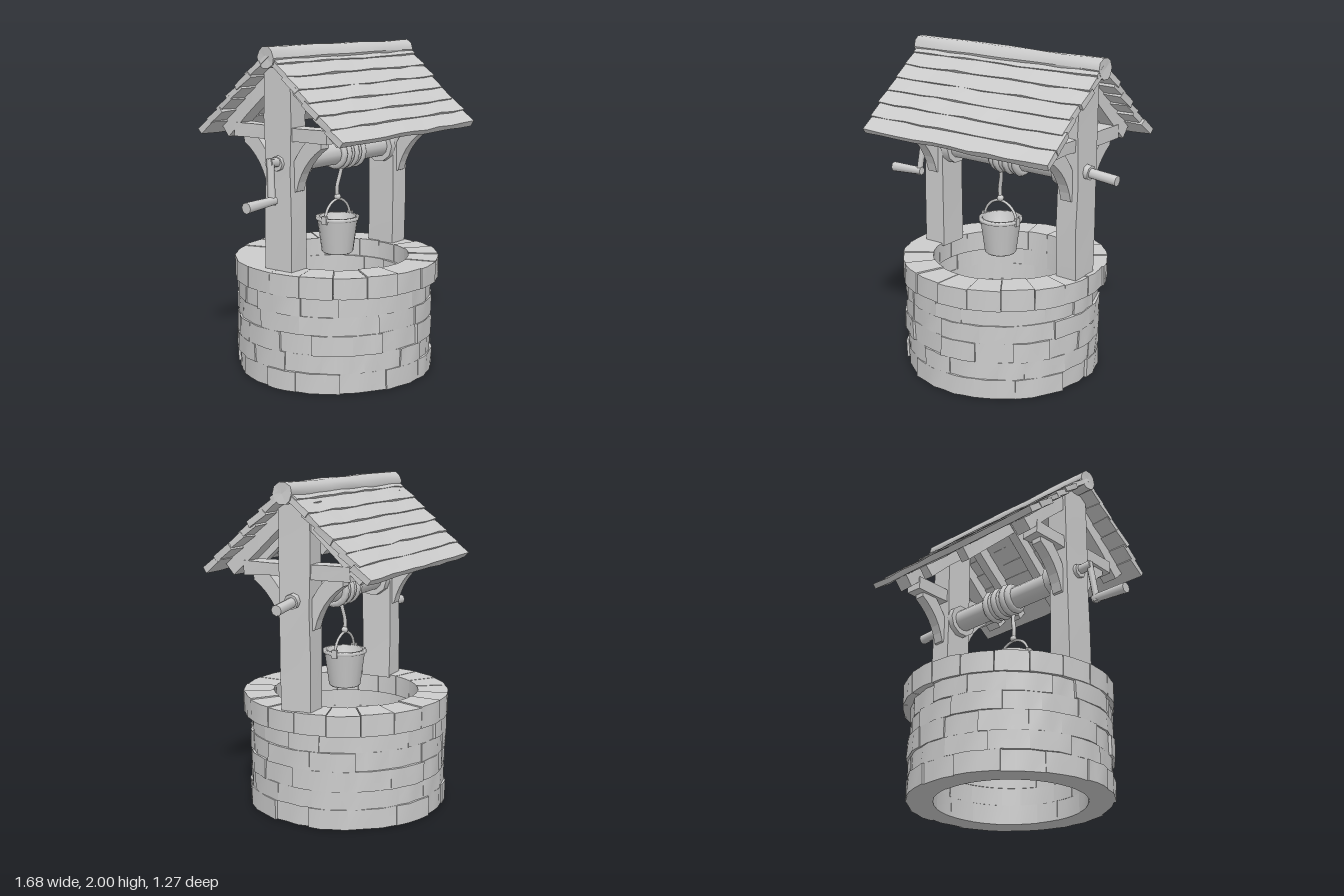
import * as THREE from 'three';

const grey = new THREE.MeshStandardMaterial({ color: 0xcccccc });
grey.name = 'plain grey';

let seed = 7;
function rand() {
  seed = (seed * 16807) % 2147483647;
  return seed / 2147483647;
}

// Shifts vertices by a rule of their position, so shared corners stay joined
function roughen(geo, amount, salt = 0) {
  const p = geo.attributes.position;
  const noise = (a, b, c) => {
    const s = Math.sin(a * 127.1 + b * 311.7 + c * 74.7 + salt) * 43758.5453;
    return (s - Math.floor(s) - 0.5) * 2 * amount;
  };
  for (let i = 0; i < p.count; i++) {
    const x = Math.round(p.getX(i) * 1e4) / 1e4;
    const y = Math.round(p.getY(i) * 1e4) / 1e4;
    const z = Math.round(p.getZ(i) * 1e4) / 1e4;
    p.setXYZ(i, x + noise(x, y, z), y + noise(y, z, x), z + noise(z, x, y));
  }
  geo.computeVertexNormals();
  return geo;
}

function add(parent, name, geo, x = 0, y = 0, z = 0) {
  const mesh = new THREE.Mesh(geo, grey);
  mesh.name = name;
  mesh.position.set(x, y, z);
  parent.add(mesh);
  return mesh;
}

function group(parent, name) {
  const g = new THREE.Group();
  g.name = name;
  parent.add(g);
  return g;
}

// Curved block of a ring: a box bent round the y axis
function ringBlock(a0, a1, y0, y1, rIn, rOut, rough) {
  const geo = new THREE.BoxGeometry(1, 1, 1, 3, 1, 1);
  const p = geo.attributes.position;
  for (let i = 0; i < p.count; i++) {
    const a = a0 + (p.getX(i) + 0.5) * (a1 - a0);
    const outer = p.getZ(i) > 0;
    const wave = outer ? Math.sin(a * 23 + p.getY(i) * 5 + y0 * 40) * rough : 0;
    const r = (outer ? rOut : rIn) + wave;
    p.setXYZ(i, r * Math.sin(a), y0 + (p.getY(i) + 0.5) * (y1 - y0), r * Math.cos(a));
  }
  geo.computeVertexNormals();
  return geo;
}

// Rod between two points
function rod(parent, name, a, b, r0, r1, sides = 8) {
  const d = new THREE.Vector3().subVectors(b, a);
  const mesh = add(parent, name, new THREE.CylinderGeometry(r1, r0, d.length(), sides));
  mesh.position.copy(a).addScaledVector(d, 0.5);
  mesh.quaternion.setFromUnitVectors(new THREE.Vector3(0, 1, 0), d.normalize());
  return mesh;
}

const V = (x, y, z) => new THREE.Vector3(x, y, z);

function buildWall(model) {
  const wall = group(model, 'stoneWall');
  wall.position.x = 0.02;
  const courses = [0, 0.12, 0.23, 0.35, 0.46, 0.58];
  for (let c = 0; c < 5; c++) {
    const n = 15 + (c % 3);
    const offset = rand();
    const cuts = Array.from({ length: n }, (_, i) => ((i + offset + (rand() - 0.5) * 0.4) / n) * Math.PI * 2);
    cuts.push(cuts[0] + Math.PI * 2);
    for (let i = 0; i < n; i++) {
      const out = 0.592 + rand() * 0.022;
      add(wall, 'wallStone', ringBlock(cuts[i], cuts[i + 1], courses[c], courses[c + 1], 0.445 + rand() * 0.01, out, 0.005));
    }
  }
  // Rim slabs
  const rim = group(model, 'stoneRim');
  rim.position.x = 0.04;
  const n = 20;
  for (let i = 0; i < n; i++) {
    const a = (i / n) * Math.PI * 2;
    add(rim, 'rimSlab', ringBlock(a, a + (Math.PI * 2) / n - 0.006, 0.57, 0.69 + rand() * 0.012, 0.445, 0.625 + rand() * 0.012, 0.003));
  }
}

function buildFrame(model) {
  // Curved bracket outline in (z, y), extruded along x
  const outline = new THREE.Shape();
  outline.moveTo(0.08, 1.16);
  outline.lineTo(0.11, 1.17);
  outline.quadraticCurveTo(0.15, 1.34, 0.29, 1.43);
  outline.lineTo(0.29, 1.48);
  outline.lineTo(0.2, 1.48);
  outline.quadraticCurveTo(0.13, 1.42, 0.08, 1.32);
  for (const x of [-0.45, 0.57]) {
    const frame = group(model, x < 0 ? 'rightFrame' : 'leftFrame');
    add(frame, 'post', roughen(new THREE.BoxGeometry(0.14, 1.2, 0.195, 1, 4, 1), 0.005, x), x, 1.28, 0.005);
    add(frame, 'crossBeam', roughen(new THREE.BoxGeometry(0.11, 0.08, 0.69, 1, 1, 4), 0.005, x), x, 1.5, 0.005);
    for (const s of [1, -1]) {
      const geo = new THREE.ExtrudeGeometry(outline, { depth: 0.07, bevelEnabled: false, curveSegments: 6 });
      geo.translate(0, 0, -0.035);
      add(frame, 'brace', geo, x, 0, 0.005).rotation.y = (-s * Math.PI) / 2;
    }
  }
}

function buildRoof(model) {
  const roof = group(model, 'roof');
  const slope = 42 * Math.PI / 180;
  for (const s of [1, -1]) {
    const turn = group(roof, s > 0 ? 'frontSlope' : 'backSlope');
    turn.position.set(0, 1.985, 0.01);
    turn.rotation.y = s > 0 ? 0 : Math.PI;
    const side = group(turn, 'slopeParts');
    side.rotation.x = slope;
    // Seven overlapping rows of boards
    for (let i = 0; i < 7; i++) {
      const w = 1.34 + rand() * 0.03;
      const geo = roughen(new THREE.BoxGeometry(w, 0.035, 0.13, 10, 1, 1), 0.005, i + s * 9);
      const board = add(side, 'roofBoard', geo, s * (0.05 + rand() * 0.02), -0.026, 0.05 + i * 0.102);
      board.rotation.x = -0.09;
    }
    for (const x of [-0.45, 0.03, 0.36, 0.57]) {
      const w = x === 0.03 || x === 0.36 ? 0.06 : 0.1;
      add(side, 'rafter', roughen(new THREE.BoxGeometry(w, 0.09, 0.62, 1, 1, 3), 0.004, x), s * x, -0.08, 0.35);
    }
  }
  // Rounded ridge board
  const ridge = new THREE.CylinderGeometry(0.062, 0.062, 1.37, 10, 6);
  ridge.rotateZ(Math.PI / 2);
  add(roof, 'ridgeCap', roughen(ridge, 0.004), 0.063, 1.936, 0.01);
}

function buildWinch(model) {
  const winch = group(model, 'winch');
  const y = 1.33, z = 0.01;
  const along = (name, x0, x1, r, sides = 12) => rod(winch, name, V(x0, y, z), V(x1, y, z), r, r, sides);
  along('axle', -0.5, 0.62, 0.07);
  for (const [a, b] of [[-0.38, -0.325], [0.46, 0.505]]) along('axleCollar', a, b, 0.105, 10);
  // Wound rope
  for (let i = 0; i < 6; i++) {
    const coil = add(winch, 'ropeCoil', new THREE.TorusGeometry(0.074 + (i % 2) * 0.008, 0.024, 6, 16), 0.0 + i * 0.036, y, z);
    coil.rotation.y = Math.PI / 2 + 0.08;
  }
  // Plain peg on one end, crank on the other
  rod(winch, 'axlePeg', V(0.6, 1.335, z), V(0.84, 1.31, 0), 0.03, 0.032);
  rod(winch, 'pegCollar', V(0.63, 1.335, z), V(0.67, 1.33, z), 0.045, 0.045);
  rod(winch, 'crankShaft', V(-0.5, 1.335, z), V(-0.615, 1.345, 0.02), 0.028, 0.028);
  rod(winch, 'crankCollar', V(-0.5, y, z), V(-0.54, y, z), 0.045, 0.045);
  rod(winch, 'crankArm', V(-0.6, 1.365, 0.02), V(-0.625, 1.105, 0.05), 0.022, 0.022, 6);
  rod(winch, 'crankHandle', V(-0.6, 1.13, 0.05), V(-0.84, 1.12, 0.05), 0.025, 0.033);
}

function buildBucket(model) {
  const bucket = group(model, 'bucket');
  bucket.position.set(0.02, 0, 0.02);
  const profile = [[0, 0.71], [0.088, 0.71], [0.098, 0.72], [0.125, 0.915], [0.135, 0.92], [0.135, 0.94], [0.112, 0.94], [0.085, 0.74], [0, 0.74]];
  add(bucket, 'pail', new THREE.LatheGeometry(profile.map(([r, h]) => new THREE.Vector2(r, h)), 18));
  add(bucket, 'pailHandle', new THREE.TorusGeometry(0.125, 0.009, 6, 16, Math.PI), 0, 0.92, 0);
  for (const s of [-1, 1]) add(bucket, 'handleEar', new THREE.BoxGeometry(0.02, 0.05, 0.035), s * 0.128, 0.93, 0);
  // Hanging rope with a knot
  const path = new THREE.CatmullRomCurve3([V(0, 1.04, 0), V(-0.005, 1.12, 0), V(0.012, 1.2, 0.01), V(0.02, 1.3, 0.03)]);
  add(bucket, 'rope', new THREE.TubeGeometry(path, 10, 0.013, 6));
  add(bucket, 'ropeKnot', new THREE.SphereGeometry(0.022, 8, 6), 0, 1.06, 0);
}

export function createModel() {
  seed = 7;
  const model = new THREE.Group();
  model.name = 'well';
  buildWall(model);
  buildFrame(model);
  buildRoof(model);
  buildWinch(model);
  buildBucket(model);
  return model;
}
